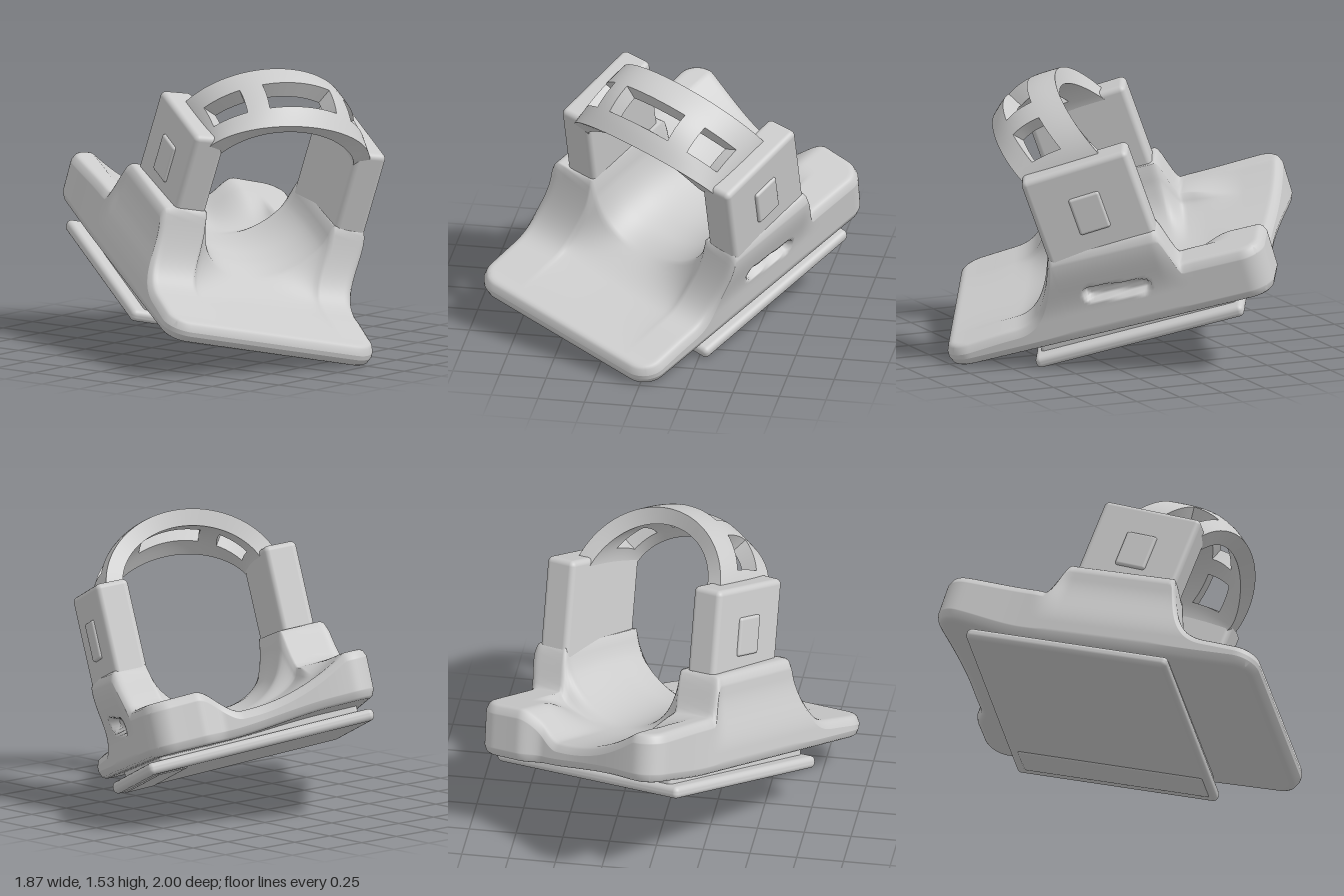
import * as THREE from 'three';
import { mergeVertices, toCreasedNormals } from 'three/addons/utils/BufferGeometryUtils.js';
import { RoundedBoxGeometry } from 'three/addons/geometries/RoundedBoxGeometry.js';

const mat = new THREE.MeshStandardMaterial({ color: 0xcccccc });
const { smoothstep, clamp, lerp } = THREE.MathUtils;

function add(parent, name, geo, x = 0, y = 0, z = 0) {
  const m = new THREE.Mesh(geo, mat);
  m.name = name;
  m.position.set(x, y, z);
  parent.add(m);
  return m;
}

function addGroup(parent, name, x = 0, y = 0, z = 0) {
  const g = new THREE.Group();
  g.name = name;
  g.position.set(x, y, z);
  parent.add(g);
  return g;
}

// Collects quads and turns them into a geometry
function quadBuilder() {
  const pos = [];
  return {
    quad(a, b, c, d) { for (const p of [a, b, c, a, c, d]) pos.push(...p); },
    build() {
      const g = new THREE.BufferGeometry();
      g.setAttribute('position', new THREE.Float32BufferAttribute(pos, 3));
      return g;
    },
  };
}

// Distance along the shoulders, which sit further forward on one side
const along = (x, z) => z - 0.06 + 0.07 * x;

// Height of the side rails
function railHeight(x, z) {
  const s = along(x, z);
  const front = 0.405 + 0.02 * smoothstep(-z, -0.8, -0.4);
  if (s > 0.09) return front + (0.8 - front) * Math.pow(clamp((0.42 - s) / 0.32, 0, 1), 2.8);
  const back = 0.583 - 0.02 * x;
  return back + (0.8 - back) * smoothstep(s, -0.56, -0.48);
}

// Top of the base: round trough between the shoulders, lopsided dish at the back
function topHeight(x, z) {
  const floor = 0.405 + 0.08 * smoothstep(-z, -0.4, 0.0) - 0.06 * smoothstep(-z, 0.1, 0.6);
  const a = Math.min(Math.abs(x - 0.03) / 0.37, 1);
  const trough = 1 - Math.sqrt(1 - a * a);
  const dish = x > 0.05 ? smoothstep(x, 0.08, 0.32) : Math.min(((0.05 - x) / 0.55) ** 2, 1);
  return floor + (railHeight(x, z) - floor) * lerp(trough, dish, smoothstep(-z, 0.45, 0.8));
}

// Base: rounded footprint, filleted edges, recessed slot in one side
function baseGeometry() {
  const N = 92, M = 140, ROWS = 28, hx = 0.605, hz = 0.915, cz = -0.105;
  const corner = 0.13, fillet = 0.045;
  const q = quadBuilder();
  const top = [], low = [];
  for (let i = 0; i <= N; i++) {
    top.push([]); low.push([]);
    for (let j = 0; j <= M; j++) {
      const x0 = hx * (2 * i / N - 1), z0 = hz * (2 * j / M - 1);
      const ex = clamp(x0, corner - hx, hx - corner), ez = clamp(z0, corner - hz, hz - corner);
      let dx = x0 - ex, dz = z0 - ez;
      const len = Math.hypot(dx, dz), k = len ? Math.max(Math.abs(dx), Math.abs(dz)) / len : 0;
      dx *= k; dz *= k;
      const inset = Math.max(0, fillet - corner + Math.hypot(dx, dz));
      const drop = fillet - Math.sqrt(Math.max(0, fillet * fillet - inset * inset));
      const xf = ex + dx, zf = ez + dz + cz, back = smoothstep(-zf, 0.5, 1);
      // Back edge runs askew and curves in beside the corner block
      const x = xf - 0.035 * back * smoothstep(-xf, 0, 0.6);
      const z = zf + back * (0.035 * smoothstep(xf, -0.55, 0.5)
        + 0.055 * smoothstep(xf, -0.55, 0) * (1 - smoothstep(xf, 0.18, 0.32)));
      const bottom = 0.29 + 0.04 * back * smoothstep(-x, -0.2, 0.4);
      const roll = -0.035 * x;
      top[i].push([x, topHeight(x, z) - drop + roll, z]);
      low[i].push([x, bottom + drop + roll, z]);
    }
  }
  // Shoulders lean sideways
  const lean = ([x, y, z]) =>
    [x + 0.05 * smoothstep(y, 0.42, 0.72) * smoothstep(along(x, z), -0.62, -0.45), y, z];
  for (let i = 0; i < N; i++) for (let j = 0; j < M; j++) {
    q.quad(...[top[i][j], top[i][j + 1], top[i + 1][j + 1], top[i + 1][j]].map(lean));
    q.quad(low[i][j], low[i + 1][j], low[i + 1][j + 1], low[i][j + 1]);
  }
  // Side walls
  const rim = [];
  for (let i = 0; i < N; i++) rim.push([i, M]);
  for (let j = M; j > 0; j--) rim.push([N, j]);
  for (let i = N; i > 0; i--) rim.push([i, 0]);
  for (let j = 0; j < M; j++) rim.push([0, j]);
  const wall = ([i, j], r) => {
    const t = top[i][j], b = low[i][j], y = b[1] + (t[1] - b[1]) * r / ROWS;
    const p = lean([t[0], y, t[2]]);
    if (i === N) {
      const dz = t[2] + 0.18;
      const d = Math.hypot(Math.max(0, Math.abs(dz) - 0.14), y - 0.5 - 0.1 * dz);
      p[0] -= 0.05 * (1 - smoothstep(d, 0.028, 0.044));
    }
    return p;
  };
  rim.forEach((p, n) => {
    const s = rim[(n + 1) % rim.length];
    for (let r = 0; r < ROWS; r++) q.quad(wall(p, r), wall(s, r), wall(s, r + 1), wall(p, r + 1));
  });
  const g = mergeVertices(q.build(), 1e-5);
  g.computeVertexNormals();
  return g;
}

// Arched band with three windows, sloping from a high rear edge to a low front edge
function archGeometry() {
  const N = 60, M = 15, thick = 0.09;
  const surface = (i, j) => {
    const a = Math.PI * i / N, s = j / M, up = Math.sin(a), bulge = 0.05 * Math.sin(Math.PI * s) * up;
    const rear = [1.15 + 0.41 * up, -0.19 + 0.21 * up], front = [1.13 + 0.27 * up, 0.25 + 0.16 * up];
    return new THREE.Vector3(0.025 - 0.48 * Math.cos(a),
      rear[0] + (front[0] - rear[0]) * s + bulge, rear[1] + (front[1] - rear[1]) * s + bulge * 0.6);
  };
  const outer = (i, j) => surface(i, j).toArray();
  const inner = (i, j) => {
    const di = surface(i + 0.1, j).sub(surface(i - 0.1, j));
    const dj = surface(i, j + 0.1).sub(surface(i, j - 0.1));
    return surface(i, j).addScaledVector(dj.cross(di).normalize(), -thick).toArray();
  };
  const solid = (i, j) => {
    if (i < 0 || j < 0 || i >= N || j >= M) return false;
    const m = Math.min(i, N - 1 - i);
    return !(j >= 5 && j < 11 && (m >= 22 || (m >= 8 && m < 17)));
  };
  const q = quadBuilder();
  for (let i = 0; i < N; i++) for (let j = 0; j < M; j++) {
    if (!solid(i, j)) continue;
    const c = [[i, j], [i, j + 1], [i + 1, j + 1], [i + 1, j]];
    const o = c.map(p => outer(...p)), n = c.map(p => inner(...p));
    q.quad(...o);
    q.quad(n[3], n[2], n[1], n[0]);
    [[-1, 0], [0, 1], [1, 0], [0, -1]].forEach(([di, dj], e) => {
      const f = (e + 1) % 4;
      if (!solid(i + di, j + dj)) q.quad(o[f], o[e], n[e], n[f]);
    });
  }
  return toCreasedNormals(q.build(), 0.7);
}

export function createModel() {
  const model = new THREE.Group();
  model.name = 'cradleMount';
  const body = addGroup(model, 'tiltedBody');
  body.rotation.set(0.31, -0.55, 0);
  const parts = addGroup(body, 'parts', -0.035);

  add(parts, 'base', baseGeometry());

  // Sole plate under the base, pitched and rolled slightly
  const sole = addGroup(parts, 'sole', -0.01, 0.235, -0.22);
  sole.rotation.set(0.02, 0, -0.04);
  add(sole, 'solePlate', new RoundedBoxGeometry(1.25, 0.065, 1.15, 4, 0.028));
  add(sole, 'soleSpacer', new RoundedBoxGeometry(1.1, 0.1, 1.08, 3, 0.02), 0, 0.045, 0);
  add(sole, 'soleStrip', new RoundedBoxGeometry(0.17, 0.03, 1.06, 3, 0.012), 0.49, -0.024, 0.01);

  // Posts with side pads, carrying the arch
  const frame = addGroup(parts, 'frame', 0.05, 0, -0.115);
  frame.rotation.y = 0.05;
  for (const [side, s, x, y, z, length] of [
    ['left', 1, 0.5, 0.955, -0.02, 0.59],
    ['right', -1, -0.445, 0.975, 0, 0.55],
  ]) {
    const post = addGroup(frame, side + 'Side', x, y, z);
    post.rotation.x = 0.05;
    add(post, side + 'Post', new RoundedBoxGeometry(0.18, 0.56, length, 5, 0.03));
    add(post, side + 'Pad', new RoundedBoxGeometry(0.06, 0.21, 0.17, 3, 0.015), s * 0.075, 0.01, 0);
  }
  add(frame, 'arch', archGeometry());

  // Stand on the ground, centred
  model.updateMatrixWorld(true);
  const box = new THREE.Box3().setFromObject(model, true);
  const c = box.getCenter(new THREE.Vector3());
  body.position.set(-c.x, -box.min.y, -c.z);
  return model;
}
